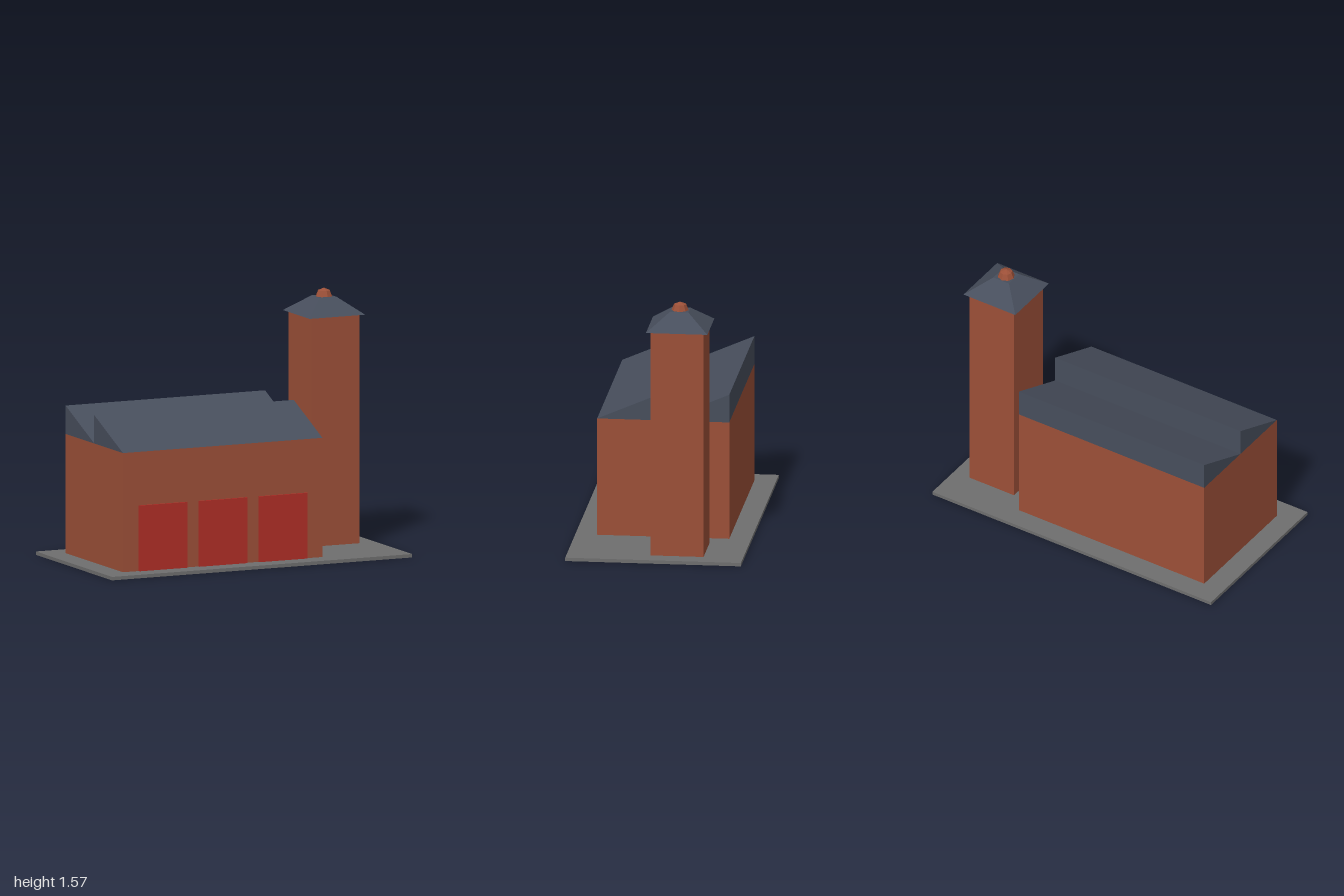
import * as THREE from 'three';

const material = (name, color) => {
  const m = new THREE.MeshStandardMaterial({ color });
  m.name = name;
  return m;
};

// Split shared vertices so every face is shaded flat
function faceted(geometry) {
  const g = geometry.toNonIndexed();
  g.computeVertexNormals();
  return g;
}

export function createModel() {
  const brick = material('brick', 0x9c5038);
  const slate = material('slate', 0x474e5c);
  const doorRed = material('doorRed', 0xb02e26);
  const concrete = material('concrete', 0x6e6e6e);

  const model = new THREE.Group();
  model.name = 'factory';

  function add(name, geometry, mat, x, y, z, parent = model) {
    const mesh = new THREE.Mesh(geometry, mat);
    mesh.name = name;
    mesh.position.set(x, y, z);
    parent.add(mesh);
    return mesh;
  }

  // Box standing on height y
  const block = (name, w, h, d, mat, x, y, z, parent) =>
    add(name, new THREE.BoxGeometry(w, h, d), mat, x, y + h / 2, z, parent);

  const ground = 0.021;
  block('baseSlab', 2, ground, 1.064, concrete, 0, 0, 0);

  // Main hall
  const hallX = -0.2, hallWidth = 1.33, eaves = 0.747;
  block('hallWalls', hallWidth, eaves - ground, 0.8, brick, hallX, ground, 0);

  // Sawtooth roof: two wedges rising to the back
  const tooth = new THREE.Shape([
    new THREE.Vector2(0, 0),
    new THREE.Vector2(0.4, 0),
    new THREE.Vector2(0.4, 0.173),
  ]);
  const toothGeometry = new THREE.ExtrudeGeometry(tooth, { depth: hallWidth, bevelEnabled: false });
  toothGeometry.rotateY(Math.PI / 2);
  [0.4, 0].forEach((z, i) =>
    add(`roofTooth${i + 1}`, toothGeometry, slate, hallX - hallWidth / 2, eaves, z));

  // Loading doors
  [-0.6, -0.2, 0.2].forEach((x, i) =>
    block(`door${i + 1}`, 0.32, 0.4, 0.026, doorRed, x, ground, 0.4));

  // Tower with pyramid cap and finial
  const tower = new THREE.Group();
  tower.name = 'tower';
  tower.position.set(0.73, 0, -0.133);
  model.add(tower);
  block('towerShaft', 0.32, 1.415 - ground, 0.32, brick, 0, ground, 0, tower);

  const cap = new THREE.CylinderGeometry(0.056 * Math.SQRT2, 0.186 * Math.SQRT2, 0.1, 4);
  cap.rotateY(Math.PI / 4);
  add('towerCap', faceted(cap), slate, 0, 1.465, 0, tower);
  add('finial', faceted(new THREE.SphereGeometry(0.053, 8, 4)), brick, 0, 1.513, 0, tower);

  return model;
}
